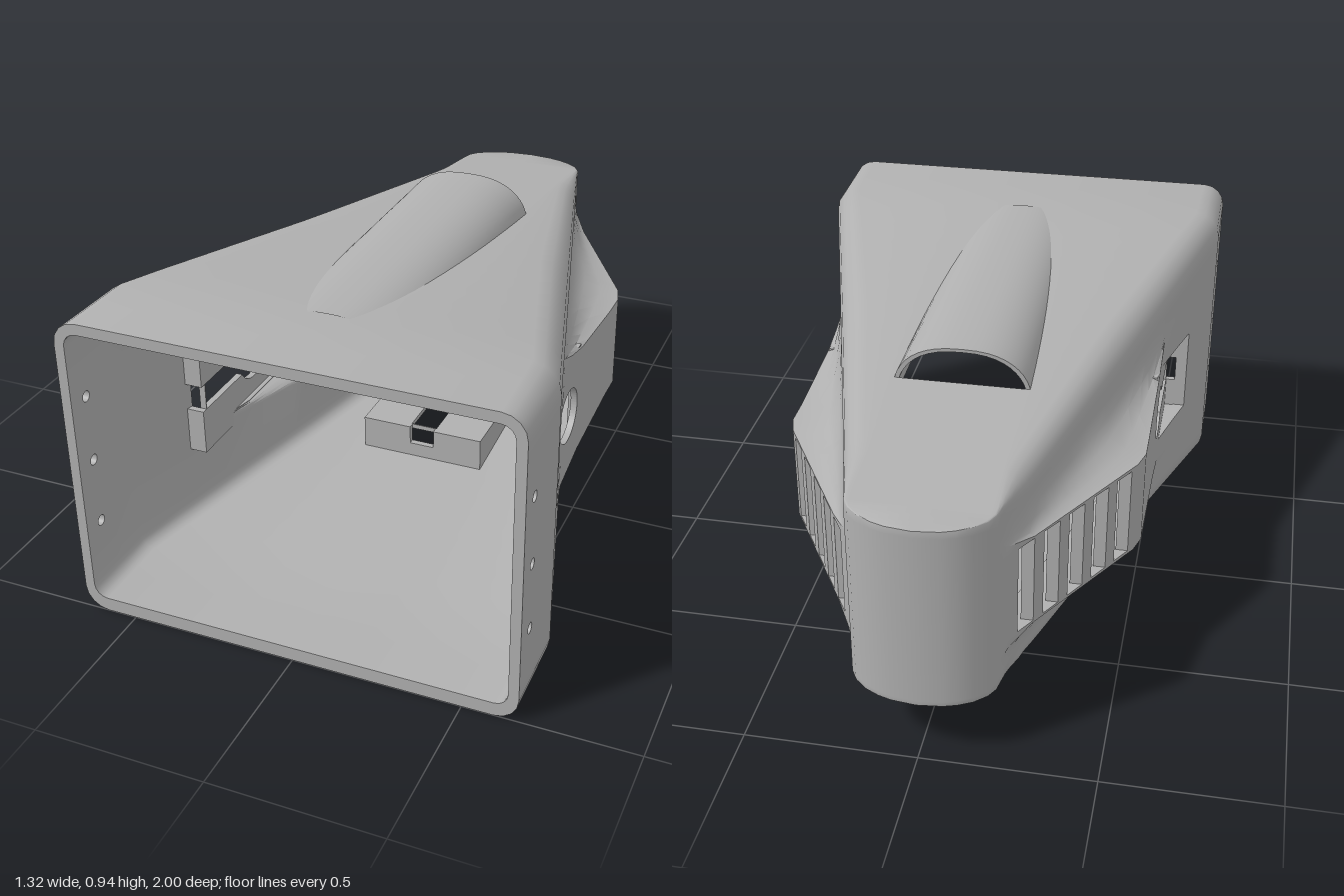
import * as THREE from 'three';
import { toCreasedNormals } from 'three/addons/utils/BufferGeometryUtils.js';

const MID = 0.465; // height of the side pods' centre line

// piecewise-linear lookup; keys run from the front (z = 1) to the back
function along(keys, z) {
  if (z >= keys[0][0]) return keys[0][1];
  for (let i = 1; i < keys.length; i++) {
    const [z0, v0] = keys[i - 1], [z1, v1] = keys[i];
    if (z >= z1) return v0 + (v1 - v0) * (z0 - z) / (z0 - z1);
  }
  return keys[keys.length - 1][1];
}

const topY = z => along([[0.72, 0.935], [-1, 0.76]], z);
const bottomY = z => along([[0.74, 0], [-0.65, 0.14], [-0.75, 0.16], [-0.83, 0.19]], z);
const halfWidth = z => z > -0.87 ? along([[0.74, 0.66], [-0.87, 0.209]], z)
  : 0.209 * Math.sqrt(Math.max(0, 1 - ((z + 0.87) / 0.13) ** 2));
const podX = z => along([[-0.32, 0.53], [-0.9, 0.19], [-1, 0]], z);
const corner = z => along([[1, 0.07], [0.74, 0.08], [0, 0.09], [-0.7, 0.06], [-0.87, 0.01], [-1, 0]], z);
const podHalf = z => along([[0.74, 0.255], [0.27, 0.215], [0.1, 0.175], [-0.2, 0.15], [-0.75, 0.145],
  [-0.85, 0.17], [-0.93, 0.235], [-1, 0.24]], z);

// scoop arch: angle at a height, and half-width at an angle
const archAngle = y => Math.asin(Math.min(1, Math.max(0, (y - 0.8) / 0.135)));
const archX = t => 0.2 * Math.pow(Math.max(0, Math.cos(t)), 0.8);

const SLOTS = [0, 1, 2, 3, 4].map(k => [-0.375 - 0.094 * k, -0.433 - 0.094 * k]);
const STATIONS = [1, 0.98, 0.87, 0.74, 0.6, 0.51, 0.4, 0.27, 0.2, 0.1, 0.03, -0.1, -0.2, -0.29, -0.35,
  ...SLOTS.flat(), -0.84, -0.87, -0.9, -0.93, -0.96, -0.98, -0.992, -1];

// half cross-section from top centre down to bottom centre
function section(z, inner) {
  const w = inner ? along([[0.74, 0.63], [-0.93, 0.11]], z) : halfWidth(z);
  const P = Math.max(w, podX(z) - (inner ? 0.035 : 0));
  const yt = topY(z) - (inner ? 0.033 : 0);
  const yb = inner ? Math.min(bottomY(z) + along([[0.74, 0.042], [0, 0.03]], z), 0.2) : bottomY(z);
  const r = Math.min(w, inner ? 0.04 : corner(z));
  const d = inner ? along([[0.87, 0.255], [0.74, 0.14]], z) : podHalf(z);
  const reach = inner ? 0.02 : 0.1;
  const hT = Math.max(0, Math.min(reach, yt - r - MID - d));
  const hB = Math.max(0, Math.min(reach, MID - d - yb - r));
  const q = [0, 1, 2, 3, 4].map(i => i * Math.PI / 8);
  const back = [...q].reverse();
  return [
    [0, yt], [Math.min(w - r, 0.93 * archX(archAngle(topY(z)))), yt],
    ...q.map(a => [w - r + r * Math.sin(a), yt - r + r * Math.cos(a)]),
    ...back.map(a => [P - (P - w) * Math.sin(a), MID + d + hT * (1 - Math.cos(a))]),
    [P, MID + 0.138], [P, MID - 0.138],
    ...q.map(a => [P - (P - w) * Math.sin(a), MID - d - hB * (1 - Math.cos(a))]),
    ...back.map(a => [w - r + r * Math.sin(a), yb + r - r * Math.cos(a)]),
    [Math.min(w - r, 0.18), yb], [0, yb],
  ].map(([x, y]) => [x, y, z]);
}

// cells left open: scoop, bottom pocket, keyhole, vent slots, screw plates
function isOpen(i, j) {
  if (i < 0 || i + 1 >= STATIONS.length) return false;
  const z = (STATIONS[i] + STATIONS[i + 1]) / 2;
  if (j === 0) return z > -0.35 && z < 0.6;
  if (j === 24) return z > -0.809 && z < 0.03;
  if (j >= 11 && j <= 13 && z > 0.87 && z < 0.98) return true;
  return j === 12 && ((z > 0.1 && z < 0.51) || SLOTS.some(([a, b]) => z < a && z > b));
}

function geometryFrom(pos, crease = 0.6) {
  const g = new THREE.BufferGeometry();
  g.setAttribute('position', new THREE.Float32BufferAttribute(pos, 3));
  return toCreasedNormals(g, crease);
}

function shellGeometry() {
  const pos = [];
  const outer = STATIONS.map(z => section(z, false));
  const inner = STATIONS.map(z => section(z, true));
  for (const s of [1, -1]) {
    const quad = (a, b, c, d) => {
      const order = s > 0 ? [a, b, c, a, c, d] : [a, c, b, a, d, c];
      for (const p of order) pos.push(s * p[0], p[1], p[2]);
    };
    for (let i = 0; i + 1 < STATIONS.length; i++) {
      for (let j = 0; j < 25; j++) {
        const cell = [[i, j], [i, j + 1], [i + 1, j + 1], [i + 1, j]];
        const o = cell.map(([u, v]) => outer[u][v]), n = cell.map(([u, v]) => inner[u][v]);
        if (i === 0) quad(o[1], o[0], n[0], n[1]); // front rim
        if (!isOpen(i, j)) {
          quad(...o);
          if (STATIONS[i + 1] >= -0.93) quad(n[3], n[2], n[1], n[0]);
          continue;
        }
        // edges of the openings
        [[i - 1, j], [i, j + 1], [i + 1, j], [i, j - 1]].forEach(([u, v], k) => {
          const m = (k + 1) % 4;
          if (v >= 0 && v < 25 && !isOpen(u, v)) quad(o[k], o[m], n[m], n[k]);
        });
      }
    }
  }
  return geometryFrom(pos);
}

// arched tube emerging from the roof, open at the back
function scoopGeometry() {
  const pos = [], N = 20;
  const rings = [];
  for (let k = 0; k <= 12; k++) {
    const z = -0.35 + k * 0.0875, t0 = archAngle(topY(z) - 0.015), out = [], inn = [];
    for (let i = 0; i <= N; i++) {
      const t = t0 + (Math.PI - 2 * t0) * i / N;
      const x = (t < Math.PI / 2 ? 1 : -1) * archX(t < Math.PI / 2 ? t : Math.PI - t);
      const y = 0.8 + 0.135 * Math.sin(t);
      out.push([x, y, z]);
      inn.push([x * 0.945, y - 0.01, z]);
    }
    rings.push([out, inn]);
  }
  const quad = (a, b, c, d) => pos.push(...a, ...b, ...c, ...a, ...c, ...d);
  for (let i = 0; i < N; i++) {
    for (let k = 0; k < 12; k++) {
      const [o, n] = rings[k], [o2, n2] = rings[k + 1];
      quad(o[i], o[i + 1], o2[i + 1], o2[i]);
      quad(n2[i], n2[i + 1], n[i + 1], n[i]);
    }
    const [o, n] = rings[0];
    quad(o[i + 1], o[i], n[i], n[i + 1]);
  }
  // outward faces run the other way round the arch
  for (let i = 0; i < pos.length; i += 9) {
    const v = [0, 1, 2].map(k => new THREE.Vector3().fromArray(pos, i + 3 * k));
    const nrm = v[1].clone().sub(v[0]).cross(v[2].clone().sub(v[0]));
    if (i === 0 && nrm.x < 0) break;
    if (i === 0) continue;
  }
  return geometryFrom(pos);
}

const Z = new THREE.Vector3(0, 0, 1), Y = new THREE.Vector3(0, 1, 0), X = new THREE.Vector3(1, 0, 0);
const SIDE = new THREE.Matrix4().makeBasis(Z, Y, X.clone().negate()); // shape in z,y; depth towards -x
const FLAT = new THREE.Matrix4().makeBasis(Z, X, Y);                  // shape in z,x; depth towards +y

function prism(points, holes, depth, basis) {
  const shape = new THREE.Shape(points.map(p => new THREE.Vector2(...p)));
  shape.holes.push(...holes);
  return new THREE.ExtrudeGeometry(shape, { depth, bevelEnabled: false, curveSegments: 24 }).applyMatrix4(basis);
}

function keyhole(zc, front, v) {
  const s = 0.0425, r = 0.085, a = Math.asin(s / r), p = new THREE.Path();
  p.moveTo(front, v - s);
  p.lineTo(front, v + s);
  p.absarc(zc, v, r, a, 2 * Math.PI - a, false);
  p.closePath();
  return p;
}

const rect = (u0, u1, v0, v1) => [[u0, v0], [u1, v0], [u1, v1], [u0, v1]];

export function createModel() {
  const group = new THREE.Group();
  const grey = new THREE.MeshStandardMaterial({ color: 0xb0b0b0, side: THREE.DoubleSide });
  grey.name = 'grey';
  const add = (name, geo, x = 0, y = 0, z = 0) => {
    const m = new THREE.Mesh(geo, grey);
    m.name = name;
    m.position.set(x, y, z);
    group.add(m);
  };
  const block = (name, x0, x1, y0, y1, z0, z1) => add(name,
    new THREE.BoxGeometry(Math.abs(x1 - x0), y1 - y0, z1 - z0), (x0 + x1) / 2, (y0 + y1) / 2, (z0 + z1) / 2);

  add('shell', shellGeometry());
  add('roofScoop', scoopGeometry());
  block('innerNoseWall', -0.12, 0.12, 0.195, 0.735, -0.945, -0.928);

  for (const s of [1, -1]) {
    const at = (x, depth) => s > 0 ? x : -x + depth;
    // side keyhole plate and its pocket
    add('sideKeyholePlate', prism(rect(0.1, 0.51, MID - 0.14, MID + 0.14), [keyhole(0.21, 0.507, MID)], 0.02, SIDE), at(0.53, 0.02));
    const pad = [[0.1, 0.51], [0.53, 0.51], [0.53, 0.585], [0.51, 0.588], [0.28, 0.526], [0.1, 0.526]];
    for (const y of [MID + 0.14, MID - 0.185])
      add('sidePocketWall', prism(pad.map(([z, x]) => [z, s * x]), [], 0.045, FLAT), 0, y);
    block('sidePocketFront', s * 0.51, s * 0.585, 0.28, 0.4225, 0.51, 0.53);
    block('sidePocketFront', s * 0.51, s * 0.585, 0.5075, 0.65, 0.51, 0.53);
    block('sidePocketFront', s * 0.57, s * 0.585, 0.4225, 0.5075, 0.51, 0.53);
    // screw plate with three round holes
    const screws = [0.26, 0.465, 0.67].map(y => new THREE.Path().absarc(0.93, y, 0.016, 0, Math.PI * 2, false));
    add('screwPlate', prism(rect(0.87, 0.98, MID - 0.255, MID + 0.255), screws, 0.03, SIDE), at(0.66, 0.03));
    // bottom pocket sides
    const wall = [[0.05, bottomY(0.05) + 0.004], [-0.65, 0.144], [-0.809, 0.188], [-0.809, 0.205], [0.05, 0.205]];
    add('bottomPocketWall', prism(wall, [], 0.02, SIDE), at(0.2, 0.02));
    block('bottomPocketFront', s * 0.04, s * 0.2, 0.075, 0.205, 0.03, 0.05);
  }

  // bottom keyhole plate
  add('bottomKeyholePlate', prism(rect(-0.83, 0.03, -0.18, 0.18), [keyhole(-0.37, 0.027, 0)], 0.015, FLAT), 0, 0.19);
  block('bottomPocketSill', -0.04, 0.04, 0.075, 0.145, 0.03, 0.05);
  return group;
}
